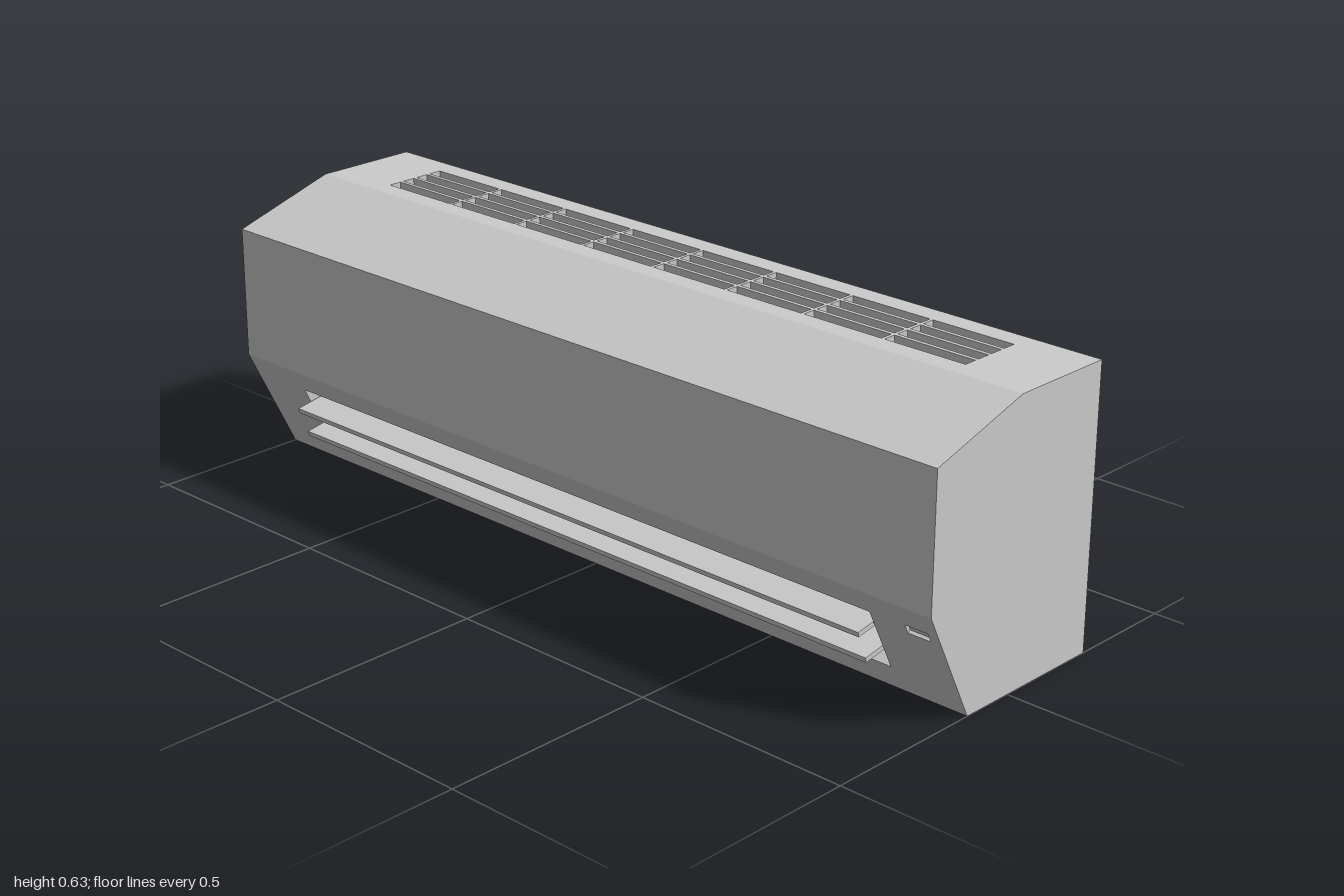
import * as THREE from 'three';

const grey = new THREE.MeshStandardMaterial({ color: 0xcccccc, flatShading: true, side: THREE.DoubleSide });

// Cross-section of the casing in x/y, counter-clockwise
const PROFILE = [[-0.125, 0], [0.25, 0], [0.25, 0.627], [0, 0.627], [-0.25, 0.552], [-0.25, 0.25]];
const NAMES = ['bottomPanel', 'wallPanel', 'topPanel', 'upperSlope', 'facePanel', 'outletPanel'];
const HALF = 1;

const rect = (Type, x0, y0, x1, y1) =>
  new Type([[x0, y0], [x1, y0], [x1, y1], [x0, y1]].map(([x, y]) => new THREE.Vector2(x, y)));

// Box without its outer face, sunk below the panel surface
function pocket({ z0, z1, v0, v1, depth, name }) {
  const geo = new THREE.BoxGeometry(z1 - z0, v1 - v0, depth);
  const index = Array.from(geo.index.array);
  index.splice(24, 6);
  geo.setIndex(index);
  geo.clearGroups();
  const mesh = new THREE.Mesh(geo, grey);
  mesh.position.set(-(z0 + z1) / 2, (v0 + v1) / 2, -depth / 2);
  mesh.name = name;
  return mesh;
}

// Flat panel along one profile edge, with recessed openings
function panel(p, q, name, openings = []) {
  const v = new THREE.Vector3(q[0] - p[0], q[1] - p[1], 0);
  const length = v.length();
  v.normalize();
  const n = new THREE.Vector3(v.y, -v.x, 0);
  const u = new THREE.Vector3(0, 0, -1);
  const group = new THREE.Group();
  group.name = name;

  const shape = rect(THREE.Shape, -HALF, 0, HALF, length);
  for (const o of openings) {
    shape.holes.push(rect(THREE.Path, -o.z1, o.v0, -o.z0, o.v1));
    group.add(pocket(o));
  }
  const sheet = new THREE.Mesh(new THREE.ShapeGeometry(shape), grey);
  sheet.name = name + 'Sheet';
  group.add(sheet);

  group.quaternion.setFromRotationMatrix(new THREE.Matrix4().makeBasis(u, v, n));
  group.position.set(p[0], p[1], 0);
  return group;
}

export function createModel() {
  const model = new THREE.Group();
  model.name = 'airConditioner';

  // Intake grille: four columns of eight slots
  const slots = [];
  for (let col = 0; col < 4; col++) {
    for (let row = 0; row < 8; row++) {
      const v0 = 0.05 + col * 0.0405;
      const z0 = -0.828 + row * 0.208;
      slots.push({ z0, z1: z0 + 0.2, v0, v1: v0 + 0.031, depth: 0.03, name: 'intakeSlot' });
    }
  }

  // Air outlet and small display window on the lower slope
  const outlet = [
    { z0: -0.833, z1: 0.833, v0: 0.056, v1: 0.215, depth: 0.1, name: 'airOutlet' },
    { z0: 0.92, z1: 0.975, v0: 0.054, v1: 0.076, depth: 0.008, name: 'displayWindow' },
  ];
  const openings = { topPanel: slots, outletPanel: outlet };

  // Long casing panels
  PROFILE.forEach((p, i) => {
    model.add(panel(p, PROFILE[(i + 1) % PROFILE.length], NAMES[i], openings[NAMES[i]]));
  });

  // End caps
  const capShape = new THREE.Shape(PROFILE.map(([x, y]) => new THREE.Vector2(x, y)));
  for (const side of [1, -1]) {
    const cap = new THREE.Mesh(new THREE.ShapeGeometry(capShape), grey);
    cap.position.z = side * HALF;
    cap.name = side > 0 ? 'frontEndCap' : 'backEndCap';
    model.add(cap);
  }

  // Tilted louvers in the outlet
  const tilt = THREE.MathUtils.degToRad(10);
  const chord = 0.1;
  for (const [x, y] of [[-0.249, 0.1575], [-0.224, 0.0945]]) {
    const louver = new THREE.Mesh(new THREE.BoxGeometry(chord, 0.011, 1.655), grey);
    louver.position.set(x + Math.cos(tilt) * chord / 2, y + Math.sin(tilt) * chord / 2, 0);
    louver.rotation.z = tilt;
    louver.name = 'louver';
    model.add(louver);
  }
  return model;
}
